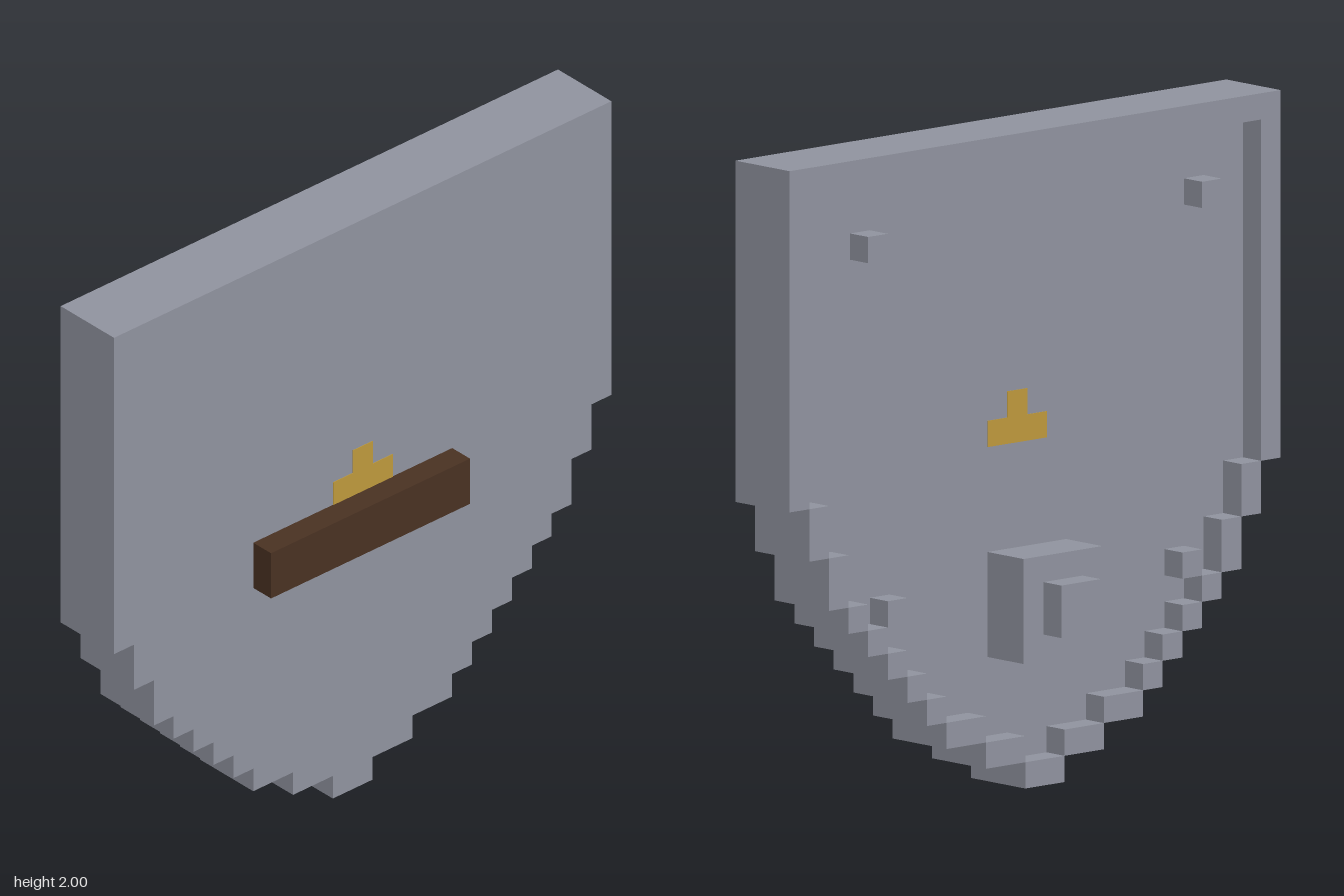
import * as THREE from 'three';

const U = 0.08; // one block
const TOP = 25; // rows in total

// First cell and end cell of each stepped row, from the tip upwards
const ROWS = [
  [11, 13], [9, 15], [7, 17], [6, 18], [5, 19], [4, 20], [3, 21],
  [2, 22], [2, 23], [1, 23], [1, 24], [0, 24], [0, 25],
];

const px = (i) => -1 + i * U;

export function createModel() {
  const stone = new THREE.MeshStandardMaterial({ color: 0x9194a0 });
  stone.name = 'greyStone';
  const wood = new THREE.MeshStandardMaterial({ color: 0x4a3222 });
  wood.name = 'darkWood';
  const gold = new THREE.MeshStandardMaterial({ color: 0xbf9a3d });
  gold.name = 'gold';

  const model = new THREE.Group();
  model.name = 'shield';

  // Box spanning cells i0..i1, rows j0..j1 and depths z0..z1
  function block(name, material, i0, i1, j0, j1, z0, z1, parent = model) {
    const geometry = new THREE.BoxGeometry((i1 - i0) * U, (j1 - j0) * U, z1 - z0);
    const mesh = new THREE.Mesh(geometry, material);
    mesh.name = name;
    mesh.position.set(px((i0 + i1) / 2), ((j0 + j1) / 2) * U, (z0 + z1) / 2);
    parent.add(mesh);
    return mesh;
  }

  // Plate with stepped edges, tapering to the tip
  const right = [];
  const left = [];
  ROWS.forEach(([a, b], j) => {
    const end = j === ROWS.length - 1 ? TOP : j + 1;
    right.push(new THREE.Vector2(px(b), j * U), new THREE.Vector2(px(b), end * U));
    left.push(new THREE.Vector2(px(a), j * U), new THREE.Vector2(px(a), end * U));
  });
  const outline = new THREE.Shape([...right, ...left.reverse()]);
  const plate = new THREE.Mesh(
    new THREE.ExtrudeGeometry(outline, { depth: 2 * U, bevelEnabled: false }), stone);
  plate.name = 'plate';
  model.add(plate);

  // Raised rim around the back
  const rim = new THREE.Group();
  rim.name = 'rim';
  model.add(rim);
  ROWS.forEach(([a, b], j) => {
    if (j === 0) {
      block('rimTip', stone, a, b, 0, 1, -U, 0, rim);
      return;
    }
    const [pa, pb] = ROWS[j - 1];
    const end = j === ROWS.length - 1 ? TOP - 1 : j + 1;
    block('rimStep', stone, a, Math.max(a + 1, pa), j, end, -U, 0, rim);
    block('rimStep', stone, Math.min(b - 1, pb), b, j, end, -U, 0, rim);
  });
  block('rimTop', stone, 0, 25, TOP - 1, TOP, -U, 0, rim);

  // Boss and knob on the back
  block('boss', stone, 10, 14, 5, 9, -2 * U, 0);
  block('knob', stone, 11, 13, 6, 8, -3 * U, -2 * U);

  // Four studs on the back
  for (const [i, j] of [[3, 21], [20, 21], [4, 7], [19, 7]]) {
    block('stud', stone, i, i + 1, j, j + 1, -U, 0);
  }

  // Gold inlay, showing on both faces
  block('inlayBase', gold, 11, 14, 13, 14, -0.002, 2 * U + 0.002);
  block('inlayTop', gold, 12, 13, 14, 15, -0.002, 2 * U + 0.002);

  // Wooden bar across the front
  block('frontBar', wood, 7, 17, 11, 13, 2 * U, 3 * U);

  return model;
}
